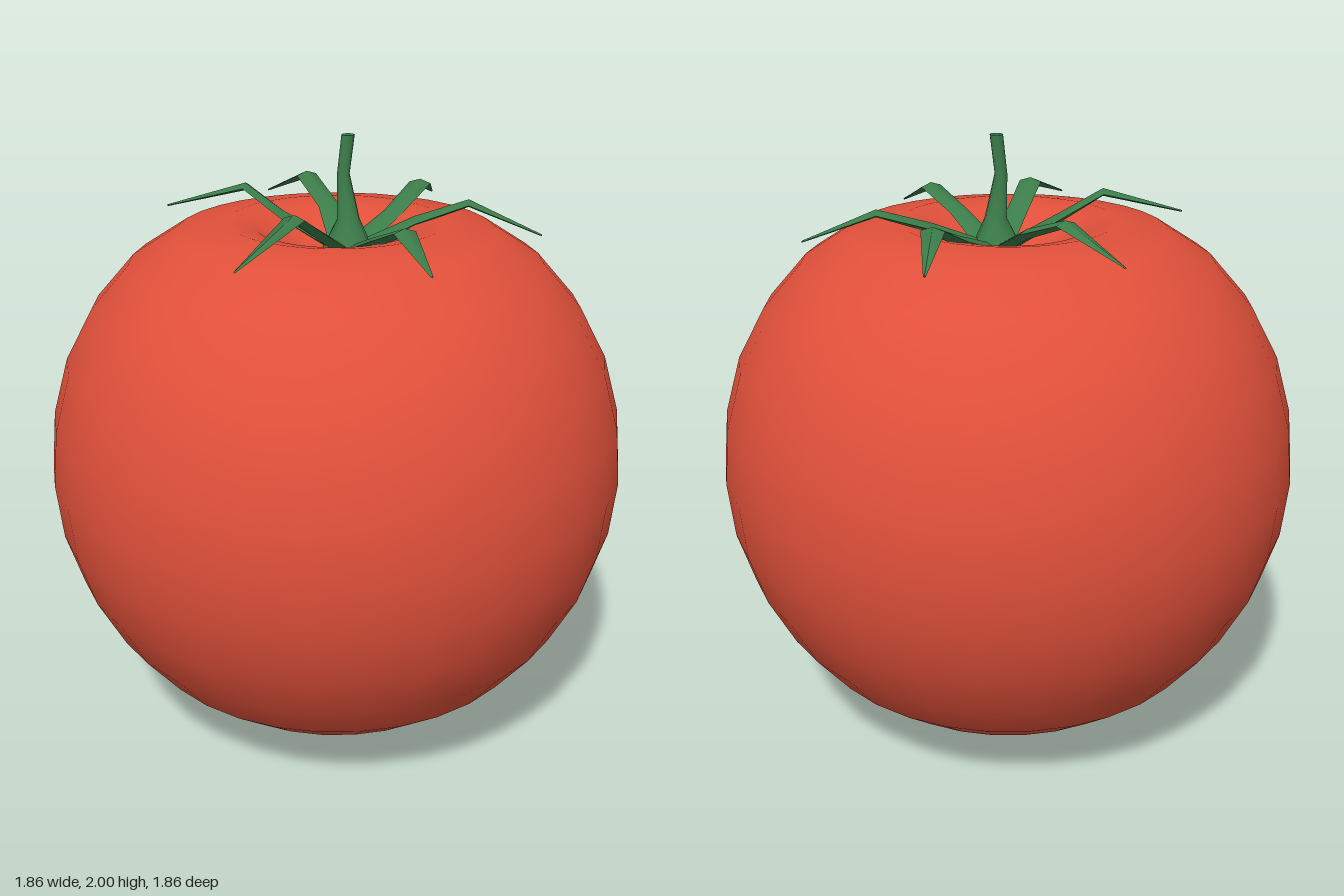
import * as THREE from 'three';
import { toCreasedNormals } from 'three/addons/utils/BufferGeometryUtils.js';

const red = new THREE.MeshStandardMaterial({ color: 0xe0503a });
const green = new THREE.MeshStandardMaterial({ color: 0x3c7d4a, side: THREE.DoubleSide });

// Skins a series of elliptical rings; each station is { c, side, up, w, h }
function loft(stations, n) {
  const pos = [], index = [];
  for (const { c, side, up, w, h } of stations) {
    for (let i = 0; i < n; i++) {
      const t = (i / n) * Math.PI * 2;
      const p = c.clone().addScaledVector(side, w * Math.cos(t)).addScaledVector(up, h * Math.sin(t));
      pos.push(p.x, p.y, p.z);
    }
  }
  for (let s = 0; s < stations.length - 1; s++) {
    for (let i = 0; i < n; i++) {
      const a = s * n + i, b = s * n + (i + 1) % n;
      index.push(a, b, a + n, b, b + n, a + n);
    }
  }
  const g = new THREE.BufferGeometry();
  g.setAttribute('position', new THREE.Float32BufferAttribute(pos, 3));
  g.setIndex(index);
  return toCreasedNormals(g, 0.9);
}

function addMesh(group, name, geometry, material) {
  const mesh = new THREE.Mesh(geometry, material);
  mesh.name = name;
  group.add(mesh);
}

const X = new THREE.Vector3(1, 0, 0);
const Y = new THREE.Vector3(0, 1, 0);
const Z = new THREE.Vector3(0, 0, 1);

// Arched leaf: rises out of the hollow, bends, then droops to a point
function sepalGeometry(path) {
  const pts = path.map((p) => new THREE.Vector3(...p));
  const widths = [0.045, 0.036, 0.037, 0.004];
  const heights = [0.02, 0.016, 0.012, 0.003];
  return loft(pts.map((c, i) => {
    const dir = pts[Math.min(i + 1, 3)].clone().sub(pts[Math.max(i - 1, 0)]);
    dir.y = 0;
    const side = new THREE.Vector3().crossVectors(Y, dir.normalize());
    return { c, side, up: Y, w: widths[i], h: heights[i] };
  }), 4);
}

export function createModel() {
  const group = new THREE.Group();
  group.name = 'tomato';

  // Round body with a pointed underside and a hollow at the top
  const profile = [
    [0, 0.005], [0.19, 0.04], [0.36, 0.095], [0.52, 0.18], [0.66, 0.29], [0.775, 0.435],
    [0.86, 0.6], [0.912, 0.77], [0.93, 0.95], [0.912, 1.13], [0.86, 1.31], [0.773, 1.47],
    [0.65, 1.61], [0.5, 1.707], [0.34, 1.735], [0.25, 1.715], [0.16, 1.66], [0.08, 1.625], [0, 1.615],
  ].map(([x, y]) => new THREE.Vector2(x, y));
  addMesh(group, 'fruitBody', new THREE.LatheGeometry(profile, 32), red);

  // Stem, flared at its foot and slightly crooked
  const stem = [
    [0.035, 1.61, 0.005, 0.1], [0.035, 1.66, 0.005, 0.075], [0.038, 1.74, 0.003, 0.036],
    [0.022, 1.88, 0, 0.02], [0.036, 2, -0.002, 0.021], [0.036, 2, -0.002, 0],
  ];
  addMesh(group, 'stem', loft(stem.map(([x, y, z, r]) => (
    { c: new THREE.Vector3(x, y, z), side: Z, up: X, w: r, h: r })), 10), green);

  // Six sepals: base, middle, bend and tip of each
  const sepals = [
    [[0, 1.65, 0], [-0.17, 1.745, -0.01], [-0.29, 1.825, -0.045], [-0.54, 1.76, -0.045]],
    [[0.07, 1.65, 0], [0.24, 1.725, -0.045], [0.41, 1.78, -0.07], [0.64, 1.69, -0.04]],
    [[0.02, 1.65, -0.03], [-0.04, 1.735, -0.19], [-0.13, 1.8, -0.35], [-0.28, 1.71, -0.51]],
    [[0.06, 1.65, -0.03], [0.17, 1.72, -0.19], [0.25, 1.785, -0.33], [0.285, 1.71, -0.54]],
    [[0.06, 1.65, 0.04], [0.14, 1.72, 0.19], [0.225, 1.78, 0.31], [0.31, 1.7, 0.485]],
    [[0.02, 1.65, 0.04], [-0.05, 1.735, 0.16], [-0.1, 1.8, 0.26], [-0.24, 1.71, 0.52]],
  ];
  const crown = new THREE.Group();
  crown.name = 'sepals';
  sepals.forEach((path, i) => addMesh(crown, `sepal${i + 1}`, sepalGeometry(path), green));
  group.add(crown);

  return group;
}
